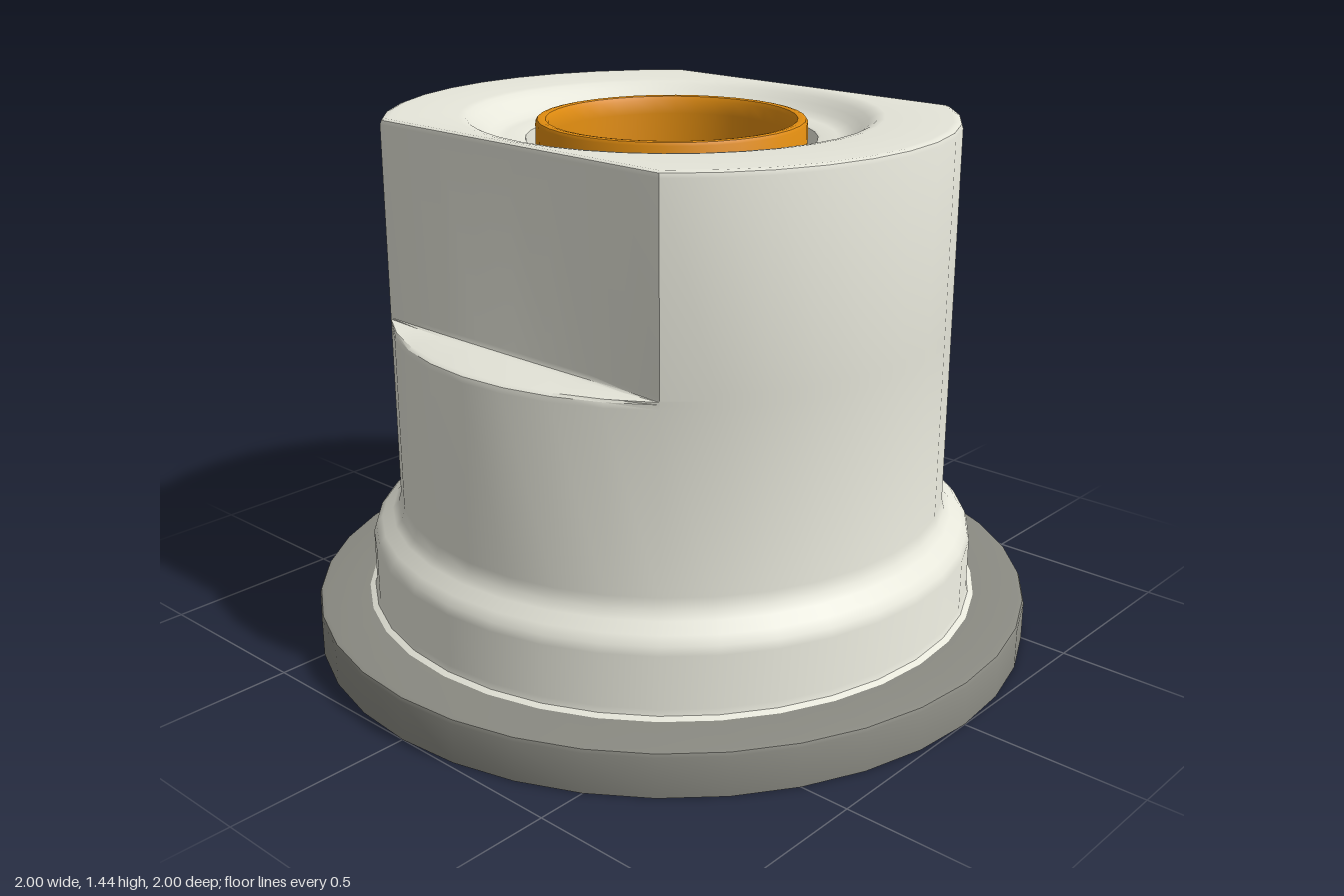
import * as THREE from 'three';
import { toCreasedNormals } from 'three/addons/utils/BufferGeometryUtils.js';

const SEGMENTS = 36;
const FLAT = Math.cos(THREE.MathUtils.degToRad(40)); // flat distance / body radius

// Revolved part from [radius, height, flatAmount] rows, listed bottom-outside to top-inside.
// flatAmount (0..1) presses the +x and -x sides of a row in to a flat.
function turned(name, color, rows) {
  const geometry = new THREE.LatheGeometry(rows.map(([r, y]) => new THREE.Vector2(r, y)), SEGMENTS);
  const pos = geometry.attributes.position;
  for (let i = 0; i < pos.count; i++) {
    const [r, , flat = 0] = rows[i % rows.length];
    const x = pos.getX(i);
    const pressed = THREE.MathUtils.clamp(x, -r * FLAT, r * FLAT);
    pos.setX(i, THREE.MathUtils.lerp(x, pressed, flat));
  }
  const mesh = new THREE.Mesh(
    toCreasedNormals(geometry, 0.6),
    new THREE.MeshStandardMaterial({ color })
  );
  mesh.name = name;
  return mesh;
}

export function createModel() {
  const group = new THREE.Group();
  group.name = 'flangedFitting';

  // Dark base disc with a softened upper edge
  group.add(turned('baseFlange', 0x8a8a82, [
    [0, 0], [1, 0], [1, 0.108], [0.996, 0.117], [0.985, 0.12], [0.8, 0.12], [0, 0.12],
  ]));

  // Stepped body: collar, shoulder, two wrench flats, dished top and bore
  group.add(turned('body', 0xe6e6da, [
    [0.86, 0.12], [0.845, 0.127], [0.84, 0.142], [0.84, 0.285],
    [0.833, 0.307], [0.815, 0.328], [0.785, 0.35], [0.768, 0.37], [0.76, 0.4],
    [0.76, 0.88, 0], [0.76, 0.894, 0.03], [0.76, 0.9, 0.1],
    [0.76, 0.9, 0.9], [0.76, 0.904, 0.97], [0.76, 0.915, 1],
    [0.76, 1.425, 1], [0.756, 1.436, 1], [0.745, 1.44, 1], [0.735, 1.44, 1],
    [0.56, 1.44], [0.54, 1.437], [0.52, 1.425], [0.5, 1.41], [0.48, 1.395],
    [0.46, 1.384], [0.44, 1.38], [0.395, 1.38], [0.387, 1.377], [0.385, 1.37], [0.385, 0.6],
  ]));

  // Orange sleeve standing in the bore, with a seat closing the gap around it
  group.add(turned('innerCup', 0xe08c10, [
    [0.386, 1.15], [0.36, 1.15], [0.36, 1.418], [0.355, 1.426], [0.345, 1.428],
    [0.333, 1.426], [0.326, 1.415], [0.32, 1.38], [0.32, 0.62], [0.3, 0.6], [0, 0.6],
  ]));

  return group;
}
